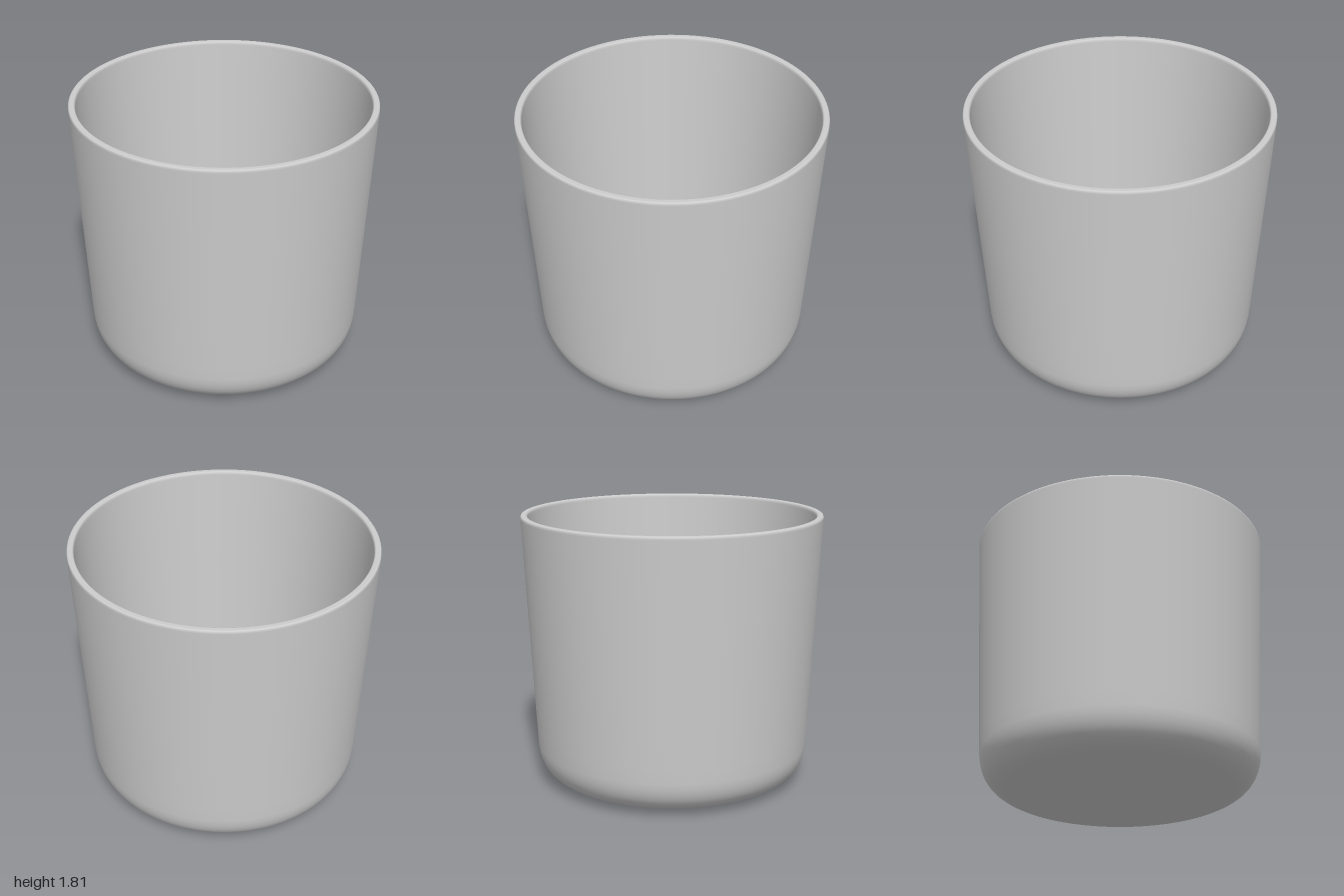
import * as THREE from 'three';

export function createModel() {
  const group = new THREE.Group();
  group.name = 'cup';
  const grey = new THREE.MeshStandardMaterial({ color: 0xcccccc });
  grey.name = 'plain grey';

  // Closed wall section: underside, outer wall, rounded rim, inner wall, floor
  const section = new THREE.Path();
  section.moveTo(0, 0);
  section.lineTo(0.3, 0.003);
  section.lineTo(0.66, 0.015);
  section.quadraticCurveTo(0.905, 0.02, 0.921, 0.25);
  section.lineTo(0.926, 0.35);
  section.lineTo(0.998, 1.79);
  section.quadraticCurveTo(1.0, 1.814, 0.985, 1.814);
  section.lineTo(0.965, 1.814);
  section.quadraticCurveTo(0.952, 1.814, 0.951, 1.79);
  section.lineTo(0.879, 0.38);
  section.lineTo(0.874, 0.28);
  section.quadraticCurveTo(0.86, 0.065, 0.66, 0.062);
  section.lineTo(0.55, 0.06);
  section.lineTo(0, 0.06);

  const body = new THREE.Mesh(new THREE.LatheGeometry(section.getPoints(10), 96), grey);
  body.name = 'cupBody';
  group.add(body);
  return group;
}
